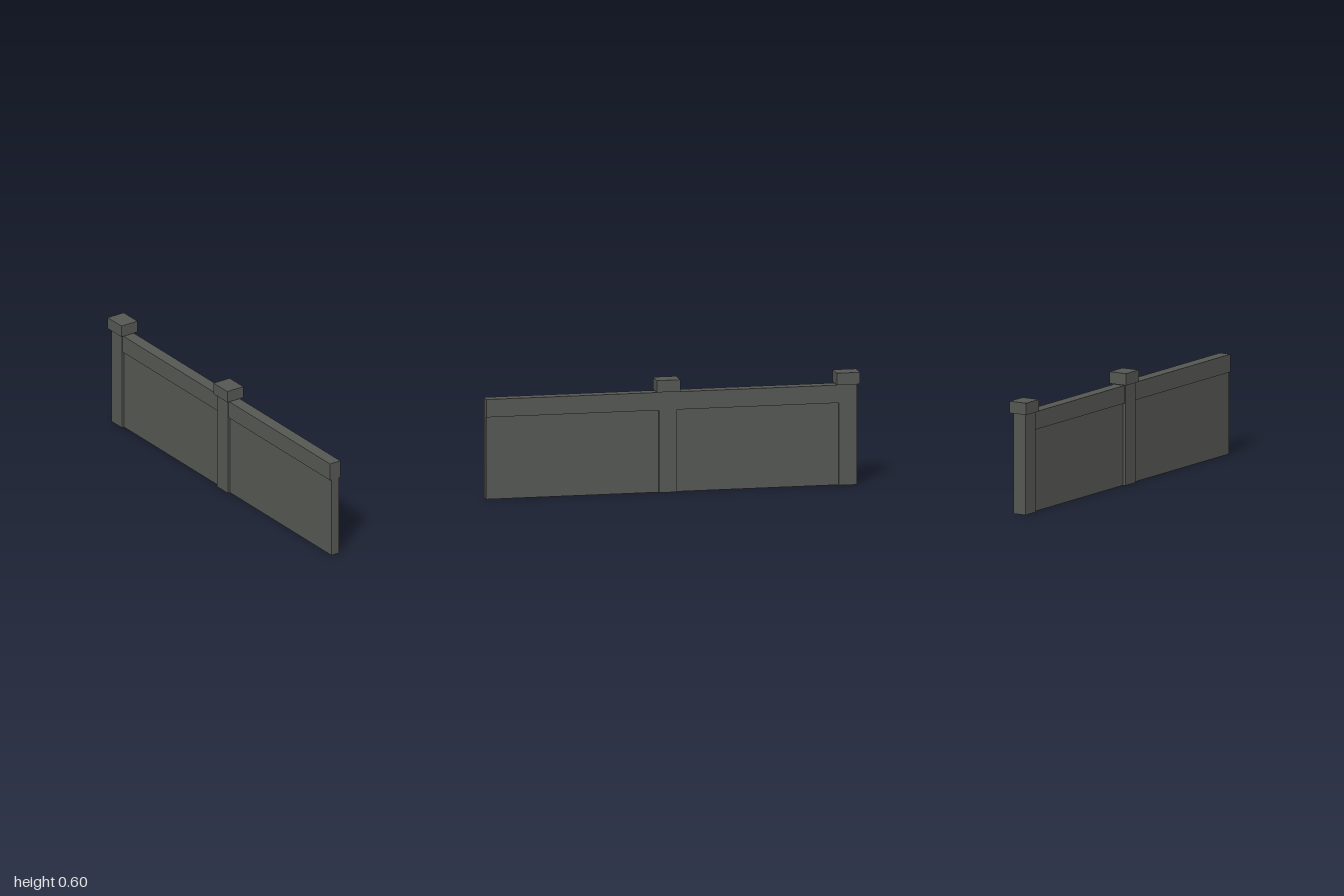
import * as THREE from 'three';

export function createModel() {
  const model = new THREE.Group();
  const stone = new THREE.MeshStandardMaterial({ color: 0x555753 });
  stone.name = 'darkGreyStone';

  // Box given by its x and y limits and its depth about z = 0
  const box = (name, x0, x1, y0, y1, depth, parent = model) => {
    const mesh = new THREE.Mesh(new THREE.BoxGeometry(x1 - x0, y1 - y0, depth), stone);
    mesh.position.set((x0 + x1) / 2, (y0 + y1) / 2, 0);
    mesh.name = name;
    parent.add(mesh);
  };

  // Posts with overhanging caps
  const posts = [['endPost', -0.934], ['middlePost', 0.029]];
  for (const [name, x] of posts) {
    const post = new THREE.Group();
    post.name = name;
    post.position.x = x;
    box('postShaft', -0.048, 0.048, 0, 0.537, 0.076, post);
    box('postCap', -0.0625, 0.0625, 0.537, 0.6, 0.103, post);
    model.add(post);
  }

  // Recessed wall panels and the thicker rails above them
  const bays = [['inner', -0.886, -0.019], ['outer', 0.077, 1]];
  for (const [name, x0, x1] of bays) {
    box(name + 'Panel', x0, x1, 0, 0.438, 0.048);
    box(name + 'Rail', x0, x1, 0.438, 0.533, 0.066);
  }

  return model;
}
